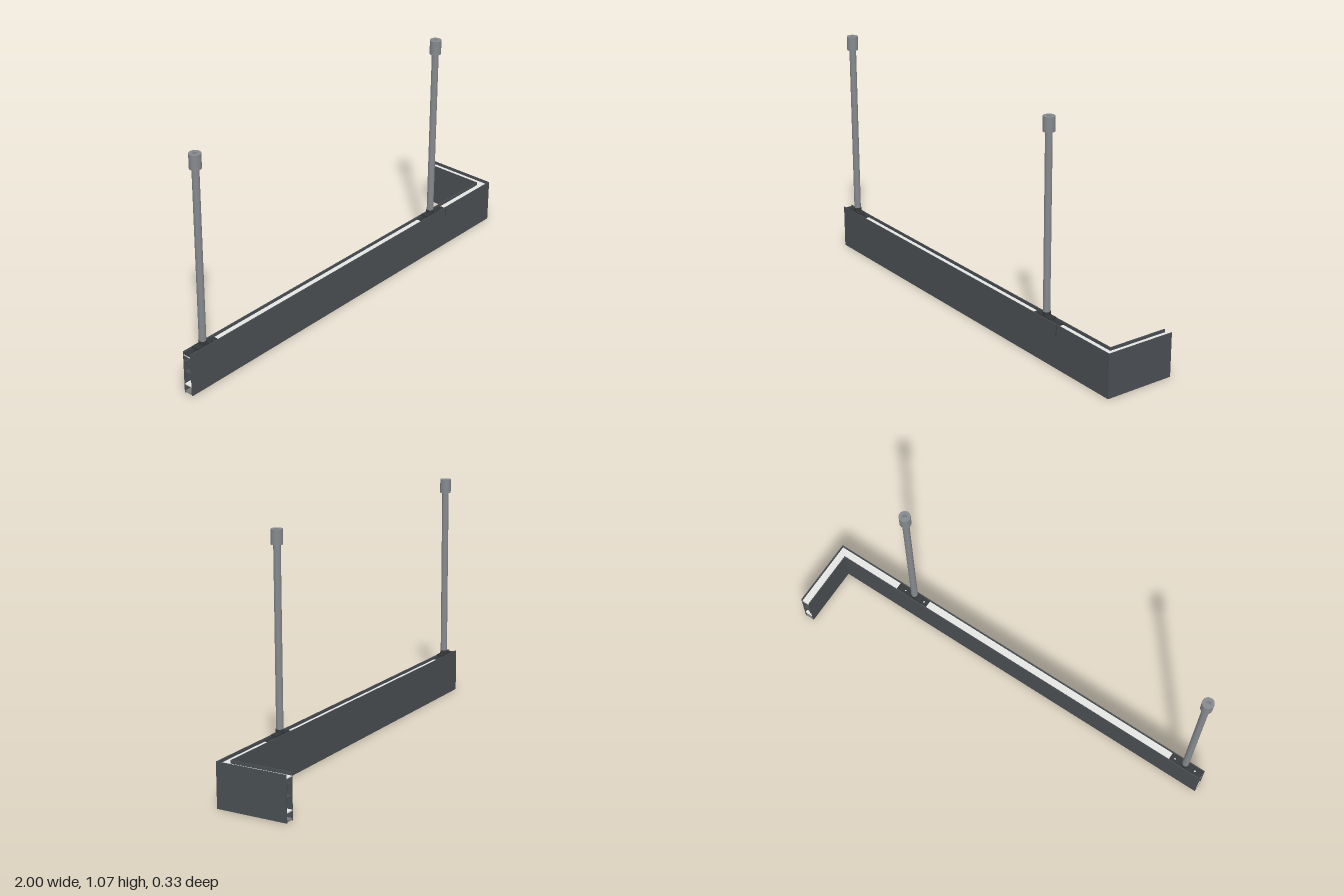
import * as THREE from 'three';

const mat = (name, color) => new THREE.MeshStandardMaterial({ name, color });

export function createModel() {
  const model = new THREE.Group();
  const body = mat('charcoal housing', 0x4a4f53);
  const steel = mat('grey steel', 0x85898d);
  const white = mat('white diffuser', 0xe4e4e2);
  const lens = mat('grey louvre', 0x77797a);
  const dark = mat('dark bracket', 0x35383b);

  const add = (name, geometry, material, parent = model) => {
    const mesh = new THREE.Mesh(geometry, material);
    mesh.name = name;
    parent.add(mesh);
    return mesh;
  };

  // Mitred L-shaped band, between two distances in from the outer face
  const band = (name, a, b, y0, y1, material) => {
    const F = 0.165, B = -0.167;
    const shape = new THREE.Shape([
      [-1, F - a], [1 - a, F - a], [1 - a, B], [1 - b, B], [1 - b, F - b], [-1, F - b],
    ].map(([x, z]) => new THREE.Vector2(x, -z)));
    const g = new THREE.ExtrudeGeometry(shape, { depth: y1 - y0, bevelEnabled: false });
    g.rotateX(-Math.PI / 2).translate(0, y0, 0);
    add(name, g, material);
  };

  // Housing walls and the light trays between them
  const W = 0.045, T = 0.004;
  band('outerWall', 0, T, 0, 0.2, body);
  band('innerWall', W - T, W, 0, 0.2, body);
  band('upperDiffuser', T, W - T, 0.182, 0.186, white);
  band('centreWeb', T, W - T, 0.1, 0.106, body);
  band('lowerTray', T, W - T, 0.04, 0.045, white);
  band('lowerLouvre', T, W - T, 0.004, 0.01, lens);
  // Inner lips that hold the trays
  for (const y of [0.075, 0.13]) {
    band('outerLip', T, 0.012, y, y + 0.025, body);
    band('innerLip', W - 0.012, W - T, y, y + 0.025, body);
  }

  // Suspension rods, each with a bracket, collar and hollow ceiling cap
  const hanger = (x, left, right) => {
    const group = new THREE.Group();
    group.name = 'hanger';
    group.position.set(x, 0, 0.1425);
    model.add(group);

    const plate = new THREE.Shape([
      [left, -0.0185], [right, -0.0185], [right, 0.0185], [left, 0.0185],
    ].map(([px, pz]) => new THREE.Vector2(px - x, pz)));
    for (const s of [-1, 1]) {
      plate.holes.push(new THREE.Path().absarc(s * 0.052, 0, 0.005, 0, Math.PI * 2, true));
    }
    const pg = new THREE.ExtrudeGeometry(plate, { depth: 0.006, bevelEnabled: false, curveSegments: 6 });
    add('bracketPlate', pg.rotateX(-Math.PI / 2).translate(0, 0.188, 0), dark, group);

    add('mountingPlate', new THREE.BoxGeometry(0.086, 0.011, 0.034), dark, group).position.y = 0.1995;
    add('collar', new THREE.CylinderGeometry(0.0175, 0.0175, 0.018, 24), dark, group).position.y = 0.212;
    add('rod', new THREE.CylinderGeometry(0.0155, 0.0155, 0.81, 24), steel, group).position.y = 0.61;

    const r = 0.0255, h = 0.009;
    const cap = [[0.0155, 1.007], [r, 1.007], [r, 1.007], [r, 1.072], [r, 1.072], [h, 1.072],
      [h, 1.072], [h, 1.05], [h, 1.05], [0, 1.05]].map(([a, b]) => new THREE.Vector2(a, b));
    add('cap', new THREE.LatheGeometry(cap, 28), steel, group);
  };
  hanger(-0.91, -1, -0.835);
  hanger(0.57, 0.497, 0.662);

  // Fine joint line on the front wall
  add('jointLine', new THREE.BoxGeometry(0.003, 0.055, 0.001), dark).position.set(0.663, 0.172, 0.165);

  return model;
}
